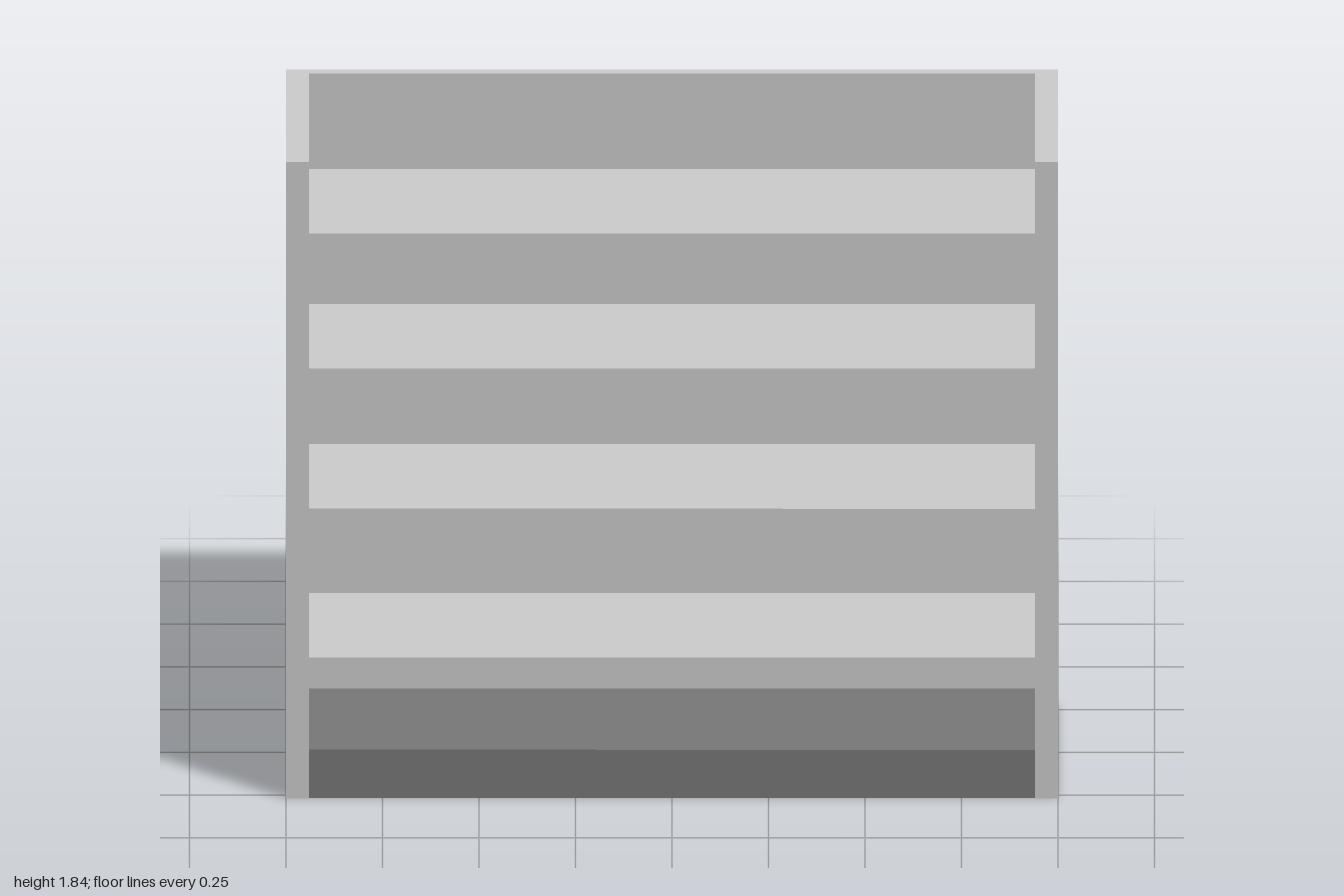
import * as THREE from 'three';

const grey = new THREE.MeshStandardMaterial({ color: 0xcccccc });
const dark = new THREE.MeshStandardMaterial({ color: 0x777777 });

// Box given by its [min, max] extents on each axis
function slab(name, [x0, x1], [y0, y1], [z0, z1], material = grey) {
  const mesh = new THREE.Mesh(new THREE.BoxGeometry(x1 - x0, y1 - y0, z1 - z0), material);
  mesh.name = name;
  mesh.position.set((x0 + x1) / 2, (y0 + y1) / 2, (z0 + z1) / 2);
  return mesh;
}

export function createModel() {
  const model = new THREE.Group();
  model.name = 'shelfUnit';
  const height = 1.84, depth = 0.27, inner = 0.94, backFace = -0.245;
  const span = [-inner, inner];

  // Side panels and back panel
  model.add(slab('leftSide', [inner, 1], [0, height], [-depth, depth]));
  model.add(slab('rightSide', [-1, -inner], [0, height], [-depth, depth]));
  model.add(slab('backPanel', span, [0, height], [-depth, backFace]));

  // Dark plinth between the sides
  model.add(slab('plinth', span, [0, 0.14], [backFace, 0.268], dark));

  // Shelves, each with a raised lip along the front edge
  for (const top of [0.34, 0.77, 1.175, 1.565]) {
    const shelf = new THREE.Group();
    shelf.name = 'shelf';
    shelf.add(slab('shelfBoard', span, [top - 0.03, top], [backFace, 0.255]));
    shelf.add(slab('shelfLip', span, [top, top + 0.06], [0.228, 0.255]));
    model.add(shelf);
  }
  return model;
}
